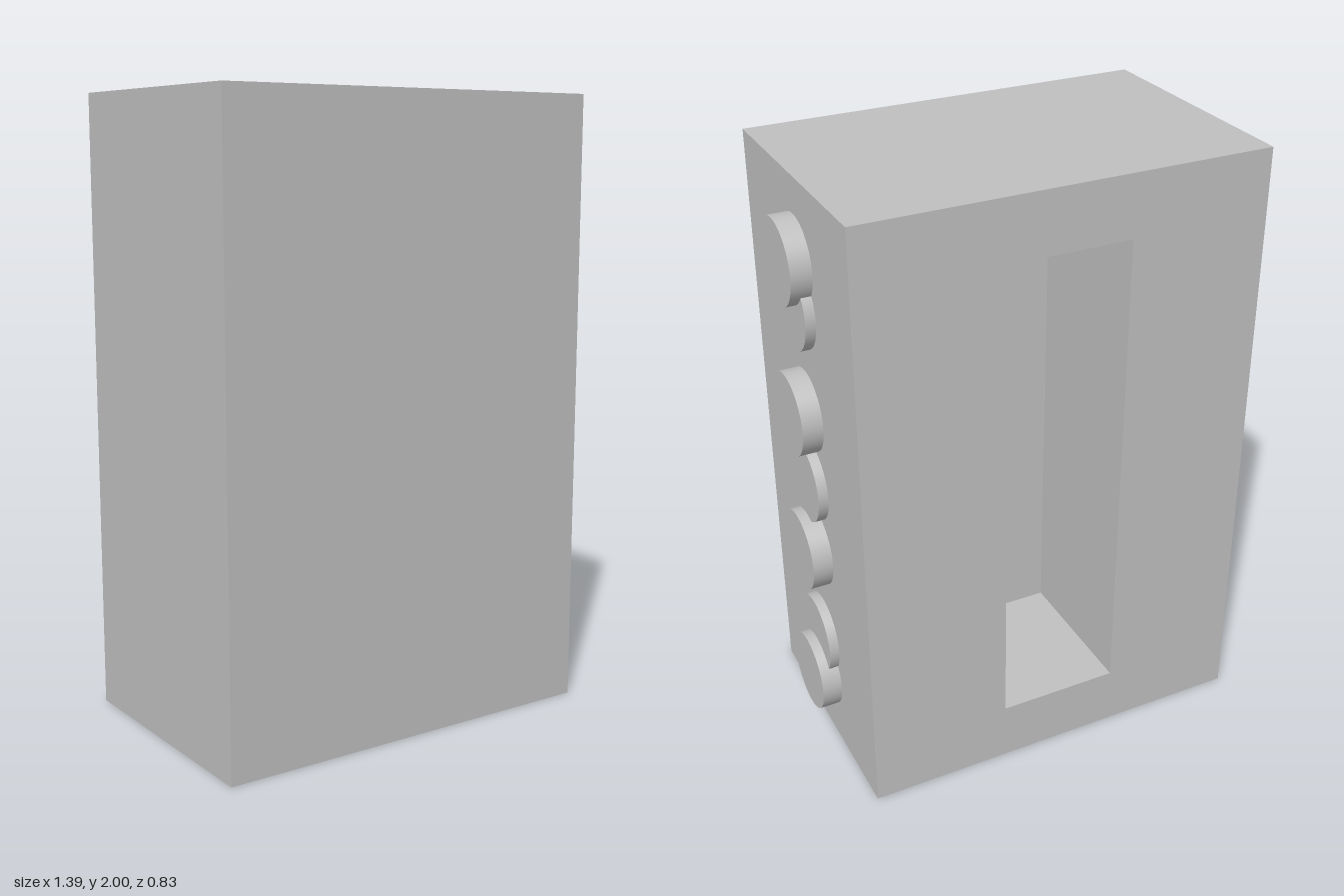
import * as THREE from 'three';

export function createModel() {
  const model = new THREE.Group();
  const grey = new THREE.MeshStandardMaterial({ color: 0xc0c0c0 });
  grey.name = 'light grey';

  const add = (name, geometry, x = 0, y = 0, z = 0) => {
    const mesh = new THREE.Mesh(geometry, grey);
    mesh.name = name;
    mesh.position.set(x, y, z);
    model.add(mesh);
    return mesh;
  };

  const left = 0.63, right = -0.695, back = -0.417, front = 0.417;
  const pocketEnd = 0.085; // depth at which the rear pocket stops
  const rect = (Type, x0, y0, x1, y1) => new Type([
    new THREE.Vector2(x0, y0), new THREE.Vector2(x1, y0),
    new THREE.Vector2(x1, y1), new THREE.Vector2(x0, y1),
  ]);

  // Rear part of the block, with the tall rectangular pocket cut through it
  const frame = rect(THREE.Shape, right, 0, left, 2);
  frame.holes.push(rect(THREE.Path, -0.235, 0.2, 0.165, 1.8));
  add('pocketFrame', new THREE.ExtrudeGeometry(frame, {
    depth: pocketEnd - back, bevelEnabled: false,
  }), 0, 0, back);

  // Solid front part closing the pocket
  add('frontSlab', new THREE.BoxGeometry(left - right, 2, front - pocketEnd),
    (left + right) / 2, 1, (front + pocketEnd) / 2);

  // Round pins through the side wall: four stand out outside, three inside
  const pin = new THREE.CylinderGeometry(0.133, 0.133, 0.56, 64);
  pin.rotateZ(-Math.PI / 2);
  for (const y of [0.25, 0.75, 1.25, 1.75]) add('outerPin', pin, 0.415, y);
  for (const y of [0.4, 1, 1.6]) add('innerPin', pin, 0.382, y);

  return model;
}
